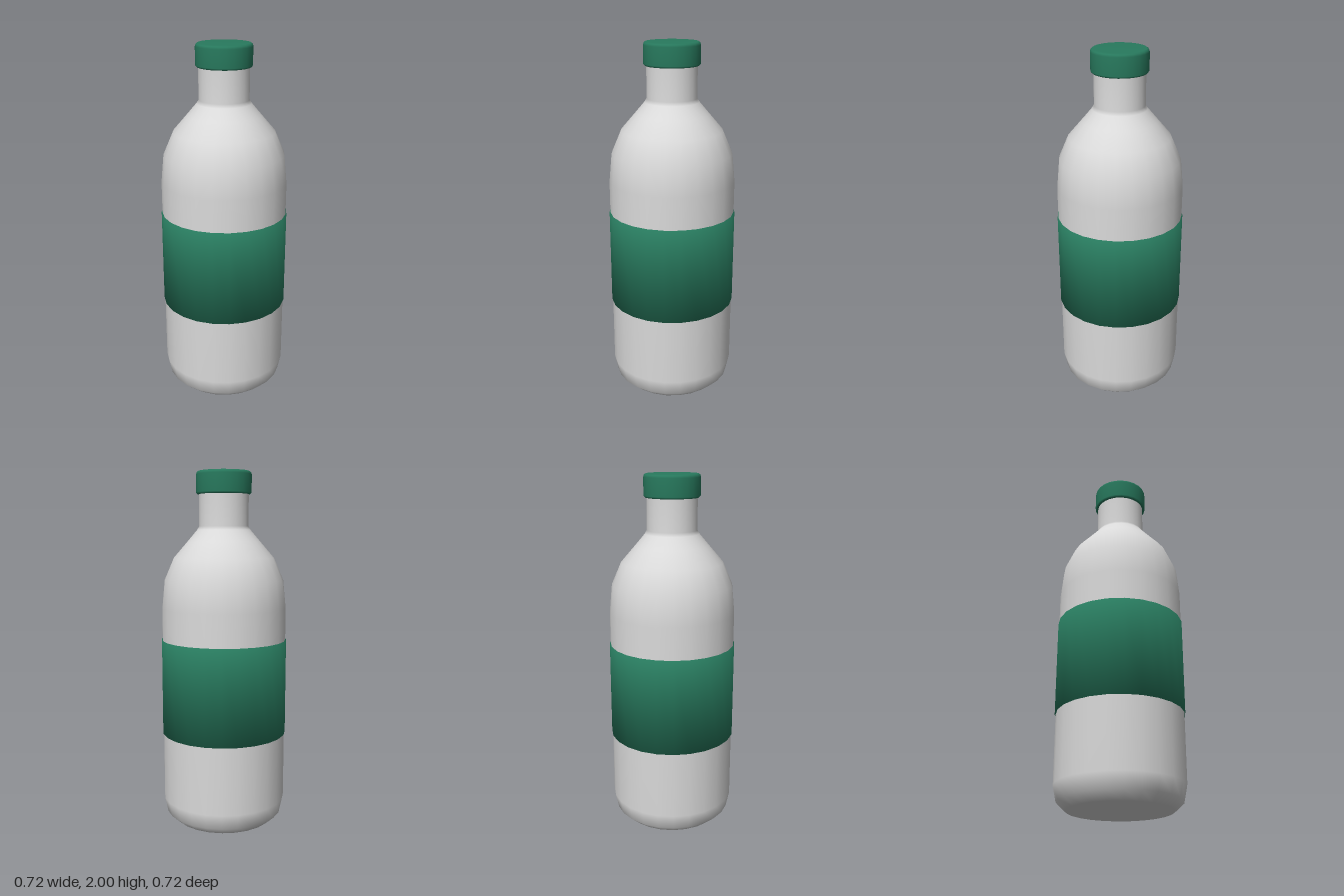
import * as THREE from 'three';

const SIDES = 24;

export function createModel() {
  const model = new THREE.Group();
  const glass = new THREE.MeshStandardMaterial({ color: 0xdadada });
  glass.name = 'pale grey';
  const green = new THREE.MeshStandardMaterial({ color: 0x287a5e });
  green.name = 'green';

  // Spins a [radius, height] profile, listed from bottom to top
  const turn = (name, material, profile) => {
    const points = profile.map(([r, y]) => new THREE.Vector2(r, y));
    const mesh = new THREE.Mesh(new THREE.LatheGeometry(points, SIDES), material);
    mesh.name = name;
    model.add(mesh);
  };

  // Body with chamfered base, rounded shoulder and straight neck
  turn('bottle', glass, [
    [0, 0], [0.285, 0], [0.335, 0.045], [0.353, 0.13], [0.353, 1.24],
    [0.337, 1.4], [0.283, 1.525], [0.205, 1.615], [0.15, 1.68], [0.139, 1.7],
    [0.139, 1.9],
  ]);

  // Closed band, softly shaded towards its edges
  turn('label', green, [[0, 0.517], [0.358, 0.517], [0.358, 1.06], [0, 1.06]]);

  // Cap with small bevels at both rims
  turn('cap', green, [
    [0, 1.875], [0.147, 1.875], [0.155, 1.885], [0.155, 1.982], [0.151, 1.994],
    [0.142, 2], [0, 2],
  ]);

  return model;
}
